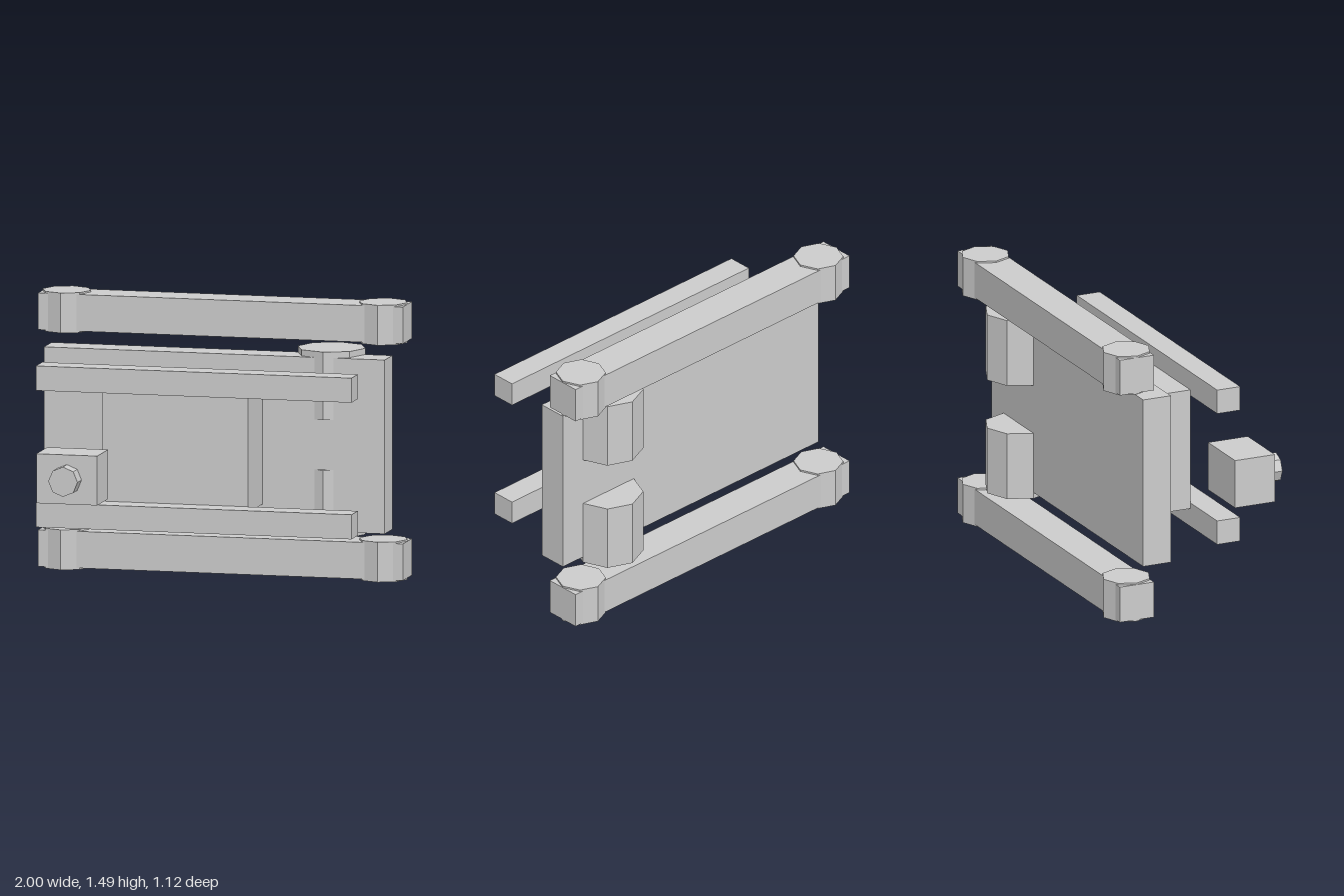
import * as THREE from 'three';

export function createModel() {
  const model = new THREE.Group();
  const material = new THREE.MeshStandardMaterial({ color: 0xcccccc, flatShading: true });

  const add = (name, geometry, x, y, z) => {
    const mesh = new THREE.Mesh(geometry, material);
    mesh.name = name;
    mesh.position.set(x, y, z);
    model.add(mesh);
    return mesh;
  };

  // Box given by its lower and upper limits on each axis
  const box = (name, [x0, x1], [y0, y1], [z0, z1]) =>
    add(name, new THREE.BoxGeometry(x1 - x0, y1 - y0, z1 - z0),
      (x0 + x1) / 2, (y0 + y1) / 2, (z0 + z1) / 2);

  // Upright eight-sided post
  const post = (name, r, x, [y0, y1], z) =>
    add(name, new THREE.CylinderGeometry(r, r, y1 - y0, 8), x, (y0 + y1) / 2, z);

  // Back plate and central block
  box('backPlate', [-0.932, 0.932], [0.277, 1.21], [-0.36, -0.197]);
  box('centreBlock', [-0.535, 0.263], [0.411, 1.076], [-0.2, 0.108]);

  // Two front rails
  for (const [name, y] of [['lowerRail', 0.311], ['upperRail', 1.044]]) {
    box(name, [-0.865, 0.862], [y, y + 0.132], [0.107, 0.242]);
  }

  // Control box with an octagonal knob
  box('controlBox', [-0.803, -0.47], [0.477, 0.742], [0.242, 0.475]);
  const knob = add('knob', new THREE.CylinderGeometry(0.08, 0.08, 0.1, 8), -0.636, 0.61, 0.512);
  knob.rotation.x = Math.PI / 2;

  // Octagonal pivots through the plate
  post('lowerPivot', 0.185, 0.6, [0.244, 0.609], -0.36);
  post('upperPivot', 0.185, 0.6, [0.878, 1.243], -0.36);

  // Side beams with octagonal end joints
  for (const [side, y] of [['lower', 0], ['upper', 1.271]]) {
    box(side + 'Beam', [-0.998, 0.998], [y + 0.009, y + 0.206], [-0.529, -0.329]);
    for (const s of [-1, 1]) {
      post(side + (s < 0 ? 'Right' : 'Left') + 'Joint', 0.132, s * 0.866, [y, y + 0.215], -0.429);
    }
  }

  return model;
}
